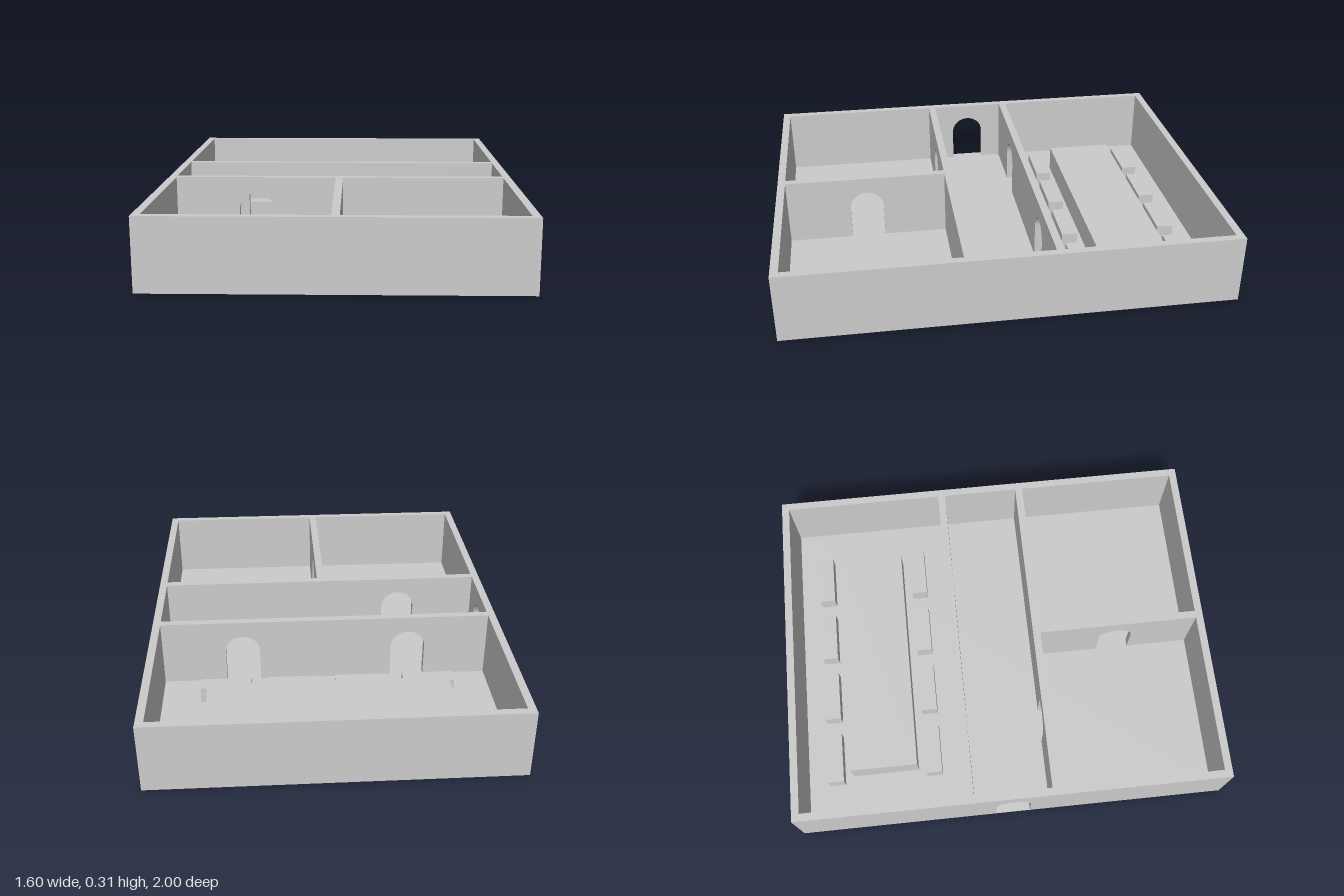
import * as THREE from 'three';

const W = 1.6, D = 2, H = 0.315, T = 0.035, FLOOR = 0.004;
const DOOR_R = 0.08, DOOR_SPRING = 0.16;

export function createModel() {
  const model = new THREE.Group();
  const material = new THREE.MeshStandardMaterial({ color: 0xcccccc });

  const add = (name, geometry, x, y, z) => {
    const mesh = new THREE.Mesh(geometry, material);
    mesh.name = name;
    mesh.position.set(x, y, z);
    model.add(mesh);
    return mesh;
  };
  const block = (name, w, h, d, x, z, y = FLOOR) =>
    add(name, new THREE.BoxGeometry(w, h, d), x, y + h / 2, z);

  // Wall along x, centred at (x, z), with arched doorways cut up from its base
  const wall = (name, length, x, z, doors = []) => {
    const s = new THREE.Shape();
    s.moveTo(-length / 2, FLOOR);
    for (const d of doors) {
      s.lineTo(d - DOOR_R, FLOOR);
      s.lineTo(d - DOOR_R, DOOR_SPRING);
      s.absarc(d, DOOR_SPRING, DOOR_R, Math.PI, 0, true);
      s.lineTo(d + DOOR_R, FLOOR);
    }
    s.lineTo(length / 2, FLOOR);
    s.lineTo(length / 2, H);
    s.lineTo(-length / 2, H);
    s.closePath();
    const g = new THREE.ExtrudeGeometry(s, { depth: T, bevelEnabled: false, curveSegments: 16 });
    g.translate(0, 0, -T / 2);
    return add(name, g, x, 0, z);
  };
  // Same wall turned to run along z; door offsets then run towards +z
  const sideWall = (name, length, x, z, doors) => {
    wall(name, length, x, z, doors).rotation.y = -Math.PI / 2;
  };

  block('floor', W, FLOOR, D, 0, 0, 0);

  // Outer walls
  wall('frontWall', W, 0, D / 2 - T / 2);
  wall('backWall', W, 0, -D / 2 + T / 2);
  sideWall('leftWall', D - 2 * T, W / 2 - T / 2, 0);
  sideWall('rightWall', D - 2 * T, -W / 2 + T / 2, 0, [0]);

  // Inner walls: corridor on both sides, and the divider of the front rooms
  wall('hallWall', W - 2 * T, 0, -0.197, [-0.39, 0.39]);
  wall('roomWall', W - 2 * T, 0, 0.194, [-0.39]);
  const z0 = 0.194 + T / 2, z1 = D / 2 - T;
  sideWall('roomDivider', z1 - z0, 0, (z0 + z1) / 2, [0]);

  // Long table with a row of benches on each side
  block('table', 1.1, 0.122, 0.315, 0, -0.592);
  for (const z of [-0.828, -0.357])
    for (let i = 0; i < 4; i++)
      block('bench', 0.235, 0.075, 0.075, (i - 1.5) * 0.313, z);

  return model;
}
